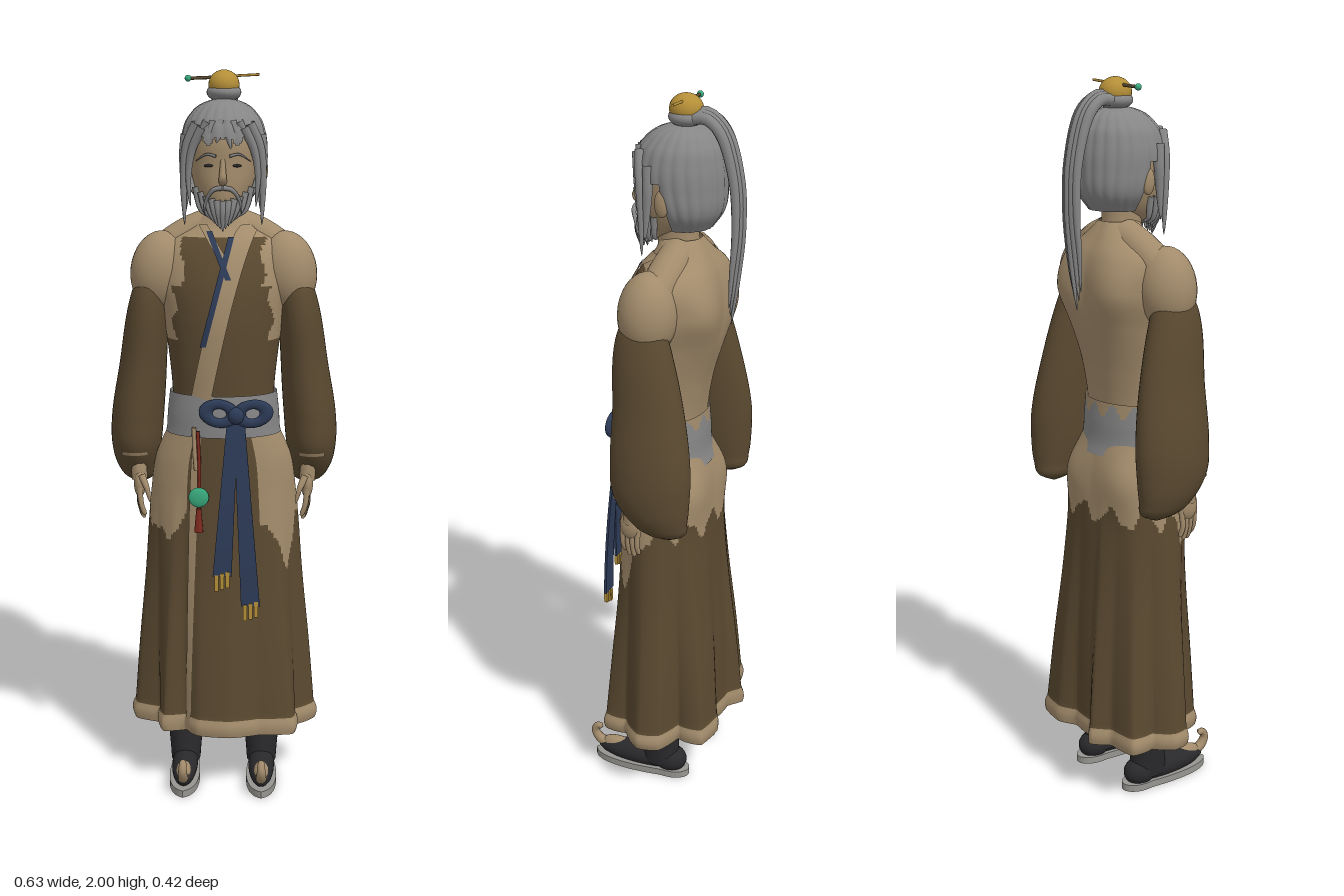
import * as THREE from 'three';

const mat = (name, color) => Object.assign(new THREE.MeshStandardMaterial({ color, side: THREE.DoubleSide }), { name });
const V = (x, y, z) => new THREE.Vector3(x, y, z);
const { abs, sin, cos, exp, PI, max } = Math;
const bump = (v, mid, width) => exp(-(((v - mid) / width) ** 2));
const point = r => t => r * Math.sqrt(max(0.002, 1 - t));

export function createModel() {
  const root = new THREE.Group();
  root.name = 'robedElder';
  const tan = mat('tan', 0xa28b6b), brown = mat('brown', 0x5a4930), grey = mat('hairGrey', 0x868686);
  const navy = mat('navy', 0x2d3b57), black = mat('black', 0x29292c), gold = mat('gold', 0xb58f38);
  const jade = mat('jade', 0x38a87c), red = mat('red', 0x7c2a1e), soleGrey = mat('soleGrey', 0x979590);

  const add = (name, geo, m, pos = [0, 0, 0], scale = [1, 1, 1], rot = [0, 0, 0]) => {
    const o = Object.assign(new THREE.Mesh(geo, m), { name });
    o.position.set(...pos);
    o.scale.set(...scale);
    o.rotation.set(...rot);
    root.add(o);
  };
  const ball = (name, m, pos, radii, rot) => add(name, new THREE.SphereGeometry(1, 28, 18), m, pos, radii, rot);
  // Elliptical body surface from rings [y, centreX, centreZ, radiusX, radiusZ], top to bottom
  const surface = (rings, fold = () => 1) => {
    const it = new THREE.CubicInterpolant(Float32Array.from(rings, r => -r[0]), Float32Array.from(rings.flatMap(r => r.slice(1))), 4);
    const ring = y => Array.from(it.evaluate(-y));
    const at = (y, a) => {
      const [cx, cz, rx, rz] = ring(y), f = fold(y, a);
      return V(cx + max(rx, 0.001) * f * sin(a), y, cz + max(rz, 0.001) * f * cos(a));
    };
    return { ring, at, top: rings[0][0], bottom: rings[rings.length - 1][0] };
  };
  // Grid of points; pick chooses the material index of each cell, or -1 for a hole
  const grid = (name, mats, rows, cols, wrap, at, pick = () => 0) => {
    const w = wrap ? cols : cols + 1, pos = [], buckets = mats.map(() => []);
    for (let i = 0; i <= rows; i++) for (let j = 0; j < w; j++) pos.push(...at(i / rows, j / cols).toArray());
    for (let i = 0; i < rows; i++) for (let j = 0; j < cols; j++) {
      const k = pick(at((i + 0.5) / rows, (j + 0.5) / cols), ((j + 0.5) / cols * 2 - 1) * PI);
      const n = (j + 1) % w, a = i * w + j, b = i * w + n, c = a + w, d = b + w;
      if (k >= 0) buckets[k].push(a, c, d, a, d, b);
    }
    const g = new THREE.BufferGeometry();
    g.setAttribute('position', new THREE.Float32BufferAttribute(pos, 3));
    g.setIndex(buckets.flat());
    let start = 0;
    buckets.forEach((b, k) => { g.addGroup(start, b.length, k); start += b.length; });
    g.computeVertexNormals();
    add(name, g, mats.length > 1 ? mats : mats[0]);
  };
  const loft = (name, s, mats, pick, rows = 40, seg = 40) => grid(name, mats, rows, seg, true,
    (u, v) => s.at(s.top + (s.bottom - s.top) * u, (v * 2 - 1) * PI), pick);
  // Thin band lying on the front of a surface
  const band = (name, s, m, y0, y1, xMid, half, out = 0.004) => grid(name, [m], 30, 6, false, (u, v) => {
    const y = y0 + (y1 - y0) * u, [cx, , rx] = s.ring(y), q = (xMid(u) + half * (v * 2 - 1) - cx) / rx;
    return s.at(y, Math.asin(THREE.MathUtils.clamp(q, -0.99, 0.99))).add(V(0, 0, out));
  });
  // Tube whose radius follows r(t)
  const strand = (name, m, pts, r, n = 14, sides = 8) => {
    const curve = new THREE.CatmullRomCurve3(pts.map(p => V(...p)));
    const g = new THREE.TubeGeometry(curve, n, 1, sides), p = g.attributes.position, v = V(0, 0, 0);
    for (let i = 0; i < p.count; i++) {
      const t = Math.floor(i / (sides + 1)) / n, c = curve.getPointAt(t);
      v.fromBufferAttribute(p, i).sub(c).multiplyScalar(r(t)).add(c);
      p.setXYZ(i, v.x, v.y, v.z);
    }
    add(name, g, m);
  };

  // Torso: brown front panel, tan back with shoulder blades
  const torso = surface([
    [1.625, 0, -0.03, 0.052, 0.055], [1.585, 0, -0.035, 0.1, 0.075], [1.54, 0, -0.03, 0.17, 0.105],
    [1.45, 0, -0.018, 0.19, 0.132], [1.35, 0, -0.006, 0.168, 0.137], [1.22, 0, 0.01, 0.148, 0.12],
    [1.12, 0, 0.015, 0.14, 0.11], [1.02, 0, 0.015, 0.145, 0.11]],
  (y, a) => 1 + 0.17 * bump(y, 1.45, 0.09) * bump(abs(a), 2.6, 0.38) - 0.04 * bump(abs(a), PI, 0.25));
  loft('torso', torso, [tan, brown], (p, a) => {
    const jag = 0.008 * sin(p.y * 60 + a * 3), x = abs(p.x);
    if (p.y > 1.555 || p.z < (p.y < 1.27 ? -0.045 : 0) + jag) return 0;
    return p.y > 1.28 && x > (p.y > 1.43 ? 0.108 : 0.13) + jag ? 0 : 1;
  }, 90, 120);
  band('frontLapel', torso, tan, 1.59, 1.12, u => 0.075 - 0.135 * Math.pow(u, 0.7), 0.028, 0.006);
  band('lapelEdge', torso, navy, 1.56, 1.27, u => 0.022 - 0.075 * u, 0.008, 0.009);
  band('innerCollar', torso, tan, 1.59, 1.47, u => -0.055 + 0.075 * u, 0.012, 0.005);
  band('innerCollarEdge', torso, navy, 1.575, 1.45, u => -0.038 + 0.053 * u, 0.008, 0.008);

  // Skirt: pleats grow towards the hem outline [x, z]; the hem has a rounded tan border
  const hem = [[-0.04, -0.165], [-0.08, -0.2], [-0.125, -0.155], [-0.215, -0.15], [-0.215, -0.08], [-0.26, -0.03], [-0.25, 0.02],
    [-0.18, 0.05], [-0.165, 0.12], [-0.105, 0.105], [-0.07, 0.15], [0.02, 0.165], [0.1, 0.14], [0.2, 0.13], [0.205, 0.06],
    [0.265, 0], [0.25, -0.06], [0.175, -0.09], [0.18, -0.165], [0.09, -0.182], [0.04, -0.155]]
    .map(([x, z]) => [x / 0.257, (z + 0.012) / 0.173]).map(([x, z]) => [Math.atan2(x, z), Math.hypot(x, z)]);
  const last = hem.length - 1;
  const ends = [[hem[last][0] - 2 * PI, hem[last][1]], ...hem, [hem[0][0] + 2 * PI, hem[0][1]]];
  const pleat = a => {
    const i = Math.max(1, ends.findIndex(e => e[0] >= a)), [a0, f0] = ends[i - 1], [a1, f1] = ends[i];
    return f0 + (f1 - f0) * (a - a0) / (a1 - a0);
  };
  const skirt = surface([
    [1.04, 0, 0.012, 0.15, 0.11], [0.95, 0, 0.002, 0.188, 0.122], [0.85, 0, -0.004, 0.203, 0.128],
    [0.6, 0, -0.01, 0.222, 0.142], [0.4, 0, -0.012, 0.24, 0.158], [0.165, 0, -0.012, 0.257, 0.173]], (y, a) => {
    const k = THREE.MathUtils.clamp((0.88 - y) / 0.7, 0, 1);
    const seat = 0.14 * bump(y, 0.92, 0.08) * bump(abs(a), 2.6, 0.36);
    const lip = y < 0.215 ? 0.03 * sin((y - 0.165) / 0.05 * PI) : 0;
    return 1 + seat + lip + k * (pleat(a) - 1);
  });
  loft('skirt', skirt, [tan, brown], (p, a) => {
    if (p.y < 0.21) return 0;
    const edge = 0.825 - (a > 0 ? 0.16 : 0.1) * bump(abs(a), 0.95, 0.38) + 0.025 * sin(11 * a) + 0.007 * sin(25 * a);
    return abs(a) > 0.5 && p.y > edge ? 0 : 1;
  }, 110, 160);
  band('skirtOpeningTrim', skirt, tan, 1.03, 0.17, u => -0.07 - 0.045 * u, 0.012);

  // Belt, lower and ragged at the back, with bow and hanging sashes
  loft('belt', surface([[1.135, 0, 0.015, 0.148, 0.115], [1.08, 0, 0.015, 0.154, 0.119], [1.015, 0, 0.013, 0.161, 0.121], [0.985, 0, 0.008, 0.177, 0.124]]),
    [grey, tan], (p, a) => abs(a) < 2 ? (p.y < 1.018 ? -1 : 0) : p.y > 1.112 + 0.018 * sin(a * 13) ? 1 : 0, 30, 96);
  for (const s of [-1, 1]) add('bowLoop', new THREE.TorusGeometry(0.026, 0.013, 10, 24), navy,
    [0.037 + s * 0.045, 1.09, 0.137], [1.45, 1, 0.7], [0, 0, s * 0.15]);
  ball('bowKnot', navy, [0.037, 1.085, 0.142], [0.022, 0.024, 0.016]);
  for (const [x0, x1, end] of [[0.028, 0, 0.64], [0.045, 0.078, 0.555]]) {
    const len = 1.075 - end, g = new THREE.BoxGeometry(1, len, 0.007, 2, 16, 1), p = g.attributes.position;
    for (let i = 0; i < p.count; i++) {
      const t = 0.5 - p.getY(i) / len;
      p.setX(i, x0 + (x1 - x0) * t + p.getX(i) * (0.03 + 0.022 * t));
      p.setZ(i, p.getZ(i) + 0.136 + 0.03 * sin(t * 1.7));
    }
    g.computeVertexNormals();
    add('sash', g, navy, [0, end + len / 2, 0]);
    for (let k = -1; k <= 1; k++)
      add('sashTassel', new THREE.BoxGeometry(0.011, 0.045, 0.009), gold, [x1 + k * 0.015, end - 0.014 + 0.005 * k, 0.167]);
  }
  // Waist pendant
  strand('pendantCordTop', tan, [[-0.078, 1.05, 0.13], [-0.076, 0.98, 0.131], [-0.072, 0.93, 0.131]], () => 0.006);
  strand('pendantCord', red, [[-0.067, 1.04, 0.132], [-0.063, 0.93, 0.132], [-0.065, 0.78, 0.132]], () => 0.005);
  ball('pendantDisc', jade, [-0.065, 0.855, 0.135], [0.028, 0.028, 0.009]);
  add('pendantTassel', new THREE.CylinderGeometry(0.007, 0.013, 0.065, 10), red, [-0.065, 0.79, 0.134]);

  for (const s of [-1, 1]) {
    // Shoulder cap, sloping to the neck, and wide sleeve
    ball('shoulder', tan, [s * 0.174, 1.46, -0.004], [0.082, 0.112, 0.08], [0, 0, s * 0.12]);
    strand('shoulderSlope', tan, [[s * 0.03, 1.585, -0.035], [s * 0.1, 1.555, -0.03], [s * 0.17, 1.505, -0.02], [s * 0.21, 1.46, -0.01]], () => 0.05, 14, 16);
    const sleeve = surface([
      [1.47, s * 0.195, 0, 0.03, 0.045], [1.4, s * 0.204, 0, 0.05, 0.072], [1.2, s * 0.225, -0.025, 0.066, 0.1],
      [1.05, s * 0.242, -0.036, 0.073, 0.112], [0.97, s * 0.246, -0.04, 0.069, 0.107],
      [0.905, s * 0.245, -0.058, 0.055, 0.083], [0.867, s * 0.238, -0.075, 0.036, 0.055], [0.848, s * 0.236, -0.085, 0.001, 0.001]]);
    loft('sleeve', sleeve, [brown], undefined, 60, 36);
    band('sleeveTrim', sleeve, tan, 0.963, 0.954, () => s * 0.246, 0.035, 0.003);
    // Hand with wrist, fingers and thumb
    strand('wrist', tan, [[s * 0.242, 0.99, 0], [s * 0.238, 0.93, 0.02], [s * 0.234, 0.88, 0.026]], () => 0.022);
    ball('palm', tan, [s * 0.234, 0.87, 0.026], [0.017, 0.042, 0.03]);
    for (let k = 0; k < 4; k++) {
      const z = 0.003 + k * 0.015, low = 0.765 + 0.012 * abs(k - 1.5);
      strand('finger', tan, [[s * 0.234, 0.86, z], [s * (0.237 - k * 0.003), 0.81, z + 0.003], [s * (0.23 - k * 0.004), low, z]],
        t => 0.0085 * (t > 0.9 ? 0.5 : 1 - 0.2 * t), 10);
    }
    strand('thumb', tan, [[s * 0.228, 0.895, 0.045], [s * 0.212, 0.86, 0.06], [s * 0.203, 0.82, 0.06]], point(0.011));
    // Trouser leg
    const x = s * 0.11;
    loft('trouserLeg', surface([[0.6, x, -0.015, 0.06, 0.06], [0.3, x, -0.015, 0.053, 0.053],
      [0.13, x, -0.015, 0.05, 0.05], [0.09, x, -0.012, 0.046, 0.052], [0.035, x, -0.012, 0.042, 0.06]]), [black], undefined, 16, 28);
    // Shoe with flat sole and curled toe
    const outline = new THREE.Shape();
    outline.moveTo(0, -0.2);
    outline.bezierCurveTo(0.045, -0.18, 0.05, -0.08, 0.037, 0.02);
    outline.bezierCurveTo(0.05, 0.125, -0.05, 0.125, -0.037, 0.02);
    outline.bezierCurveTo(-0.05, -0.08, -0.045, -0.18, 0, -0.2);
    add('sole', new THREE.ExtrudeGeometry(outline, { depth: 0.02, bevelEnabled: false, curveSegments: 14 }), soleGrey, [x, 0, 0], [1, 1, 1], [-PI / 2, 0, 0]);
    ball('shoeUpper', black, [x, 0.04, 0.05], [0.037, 0.035, 0.14]);
    ball('shoeHeel', black, [x, 0.045, -0.04], [0.041, 0.04, 0.05]);
    ball('instep', tan, [x, 0.05, 0.13], [0.022, 0.025, 0.05]);
    strand('curledToe', tan, [[x, 0.045, 0.15], [x, 0.055, 0.187], [x, 0.08, 0.203], [x, 0.098, 0.195], [x, 0.097, 0.178]],
      t => 0.018 * (1 - 0.5 * t) * (t > 0.97 ? 0.1 : 1), 20, 10);
    // Ear, eye, brow and moustache
    ball('ear', tan, [s * 0.108, 1.735, -0.015], [0.012, 0.036, 0.02]);
    ball('eye', black, [s * 0.038, 1.75, 0.086], [0.012, 0.004, 0.005]);
    strand('eyebrow', grey, [[s * 0.018, 1.775, 0.097], [s * 0.042, 1.78, 0.088], [s * 0.075, 1.76, 0.062]], point(0.004));
    strand('moustache', grey, [[0, 1.693, 0.102], [s * 0.025, 1.687, 0.098], [s * 0.046, 1.655, 0.082], [s * 0.05, 1.62, 0.074]], point(0.007));
    // Long side locks in front of the ears
    strand('sideLock', grey, [[s * 0.07, 1.86, 0.06], [s * 0.097, 1.8, 0.05], [s * 0.106, 1.72, 0.044], [s * 0.104, 1.59, 0.042]], point(0.015));
    strand('innerLock', grey, [[s * 0.055, 1.85, 0.075], [s * 0.083, 1.79, 0.062], [s * 0.093, 1.72, 0.055], [s * 0.088, 1.64, 0.052]], point(0.013));
    strand('templeLock', grey, [[s * 0.098, 1.83, 0.025], [s * 0.105, 1.77, 0.024], [s * 0.103, 1.71, 0.028], [s * 0.1, 1.63, 0.035]], point(0.017));
  }
  // Neck and head
  loft('neck', surface([[1.7, 0, -0.02, 0.052, 0.058], [1.62, 0, -0.02, 0.05, 0.056], [1.54, 0, -0.025, 0.06, 0.065]]), [tan], undefined, 12, 28);
  loft('head', surface([[1.9, 0, -0.025, 0.06, 0.075], [1.82, 0, -0.008, 0.09, 0.096], [1.75, 0, -0.004, 0.09, 0.094],
    [1.69, 0, 0.002, 0.078, 0.09], [1.64, 0, 0.018, 0.05, 0.066], [1.61, 0, 0.03, 0.015, 0.025]]), [tan], undefined, 30, 36);
  strand('nose', tan, [[0, 1.765, 0.088], [0, 1.735, 0.098], [0, 1.717, 0.103], [0, 1.708, 0.09]], t => 0.006 + 0.006 * t, 10);
  // Beard: two fans of tapering strands
  for (let row = 0; row < 2; row++) for (let k = -5; k <= 5; k++) {
    const q = k / 5, z = 0.09 - 0.052 * q * q - row * 0.018;
    strand('beardStrand', grey, [[q * 0.074, 1.657 + 0.035 * q * q, z], [q * 0.06, 1.63, z + 0.004],
      [q * 0.035, 1.575 + 0.035 * abs(q) + row * 0.01, z * 0.85 + 0.008]], point(0.011), 10, 7);
  }
  // Combed hair: ridges around the cap, open over the face, with a short fringe
  const hair = surface([[1.928, 0, -0.036, 0.004, 0.004], [1.915, 0, -0.035, 0.05, 0.055], [1.88, 0, -0.029, 0.093, 0.1],
    [1.83, 0, -0.025, 0.113, 0.12], [1.77, 0, -0.029, 0.117, 0.121], [1.7, 0, -0.042, 0.106, 0.1], [1.655, 0, -0.04, 0.075, 0.072]],
  (y, a) => 0.98 + 0.032 * abs(sin(11 * a)));
  loft('hair', hair, [grey], (p, a) => {
    const line = abs(a) < 0.9 ? 1.815 + 0.012 * sin(abs(a) * 14) : 1.785;
    return abs(a) < 1.45 && p.y < line ? -1 : 0;
  }, 50, 132);
  [-0.06, -0.036, -0.01, 0.014, 0.036, 0.06].forEach((x, i) => strand('fringe', grey, [[x * 0.7, 1.865, 0.072],
    [x, 1.83, 0.088 - x * x * 6], [x * 1.15 + (i % 2 ? 0.006 : -0.006), 1.793 + 0.008 * (i % 3), 0.09 - x * x * 7]], point(0.012)));
  // Topknot with gold cap and hairpin
  ball('topknot', grey, [0, 1.94, -0.04], [0.047, 0.026, 0.047]);
  ball('topknotCap', gold, [0, 1.96, -0.04], [0.042, 0.04, 0.045]);
  strand('hairpin', gold, [[0.02, 1.983, -0.04], [0.06, 1.985, -0.04], [0.096, 1.987, -0.04]], () => 0.0035);
  strand('hairpinShaft', brown, [[0.02, 1.983, -0.04], [-0.04, 1.979, -0.04], [-0.092, 1.977, -0.04]], () => 0.0045);
  ball('hairpinBead', jade, [-0.097, 1.977, -0.04], [0.009, 0.009, 0.009]);
  // Ponytail: a bundle of strands arching back
  for (let k = -2; k <= 2; k++) {
    const x = k * 0.01, d = 0.005 * abs(k);
    strand('ponytailStrand', grey, [[x, 1.95 - d, -0.06], [x, 1.953 - d, -0.1], [x * 1.1, 1.91, -0.15 + d], [x * 1.1, 1.79, -0.188 + d],
      [x * 1.2, 1.66, -0.196 + d], [x * 1.2, 1.53, -0.187 + d], [x * 0.9, 1.395 + d * 5, -0.17]], point(0.0165), 36, 10);
  }
  return root;
}
